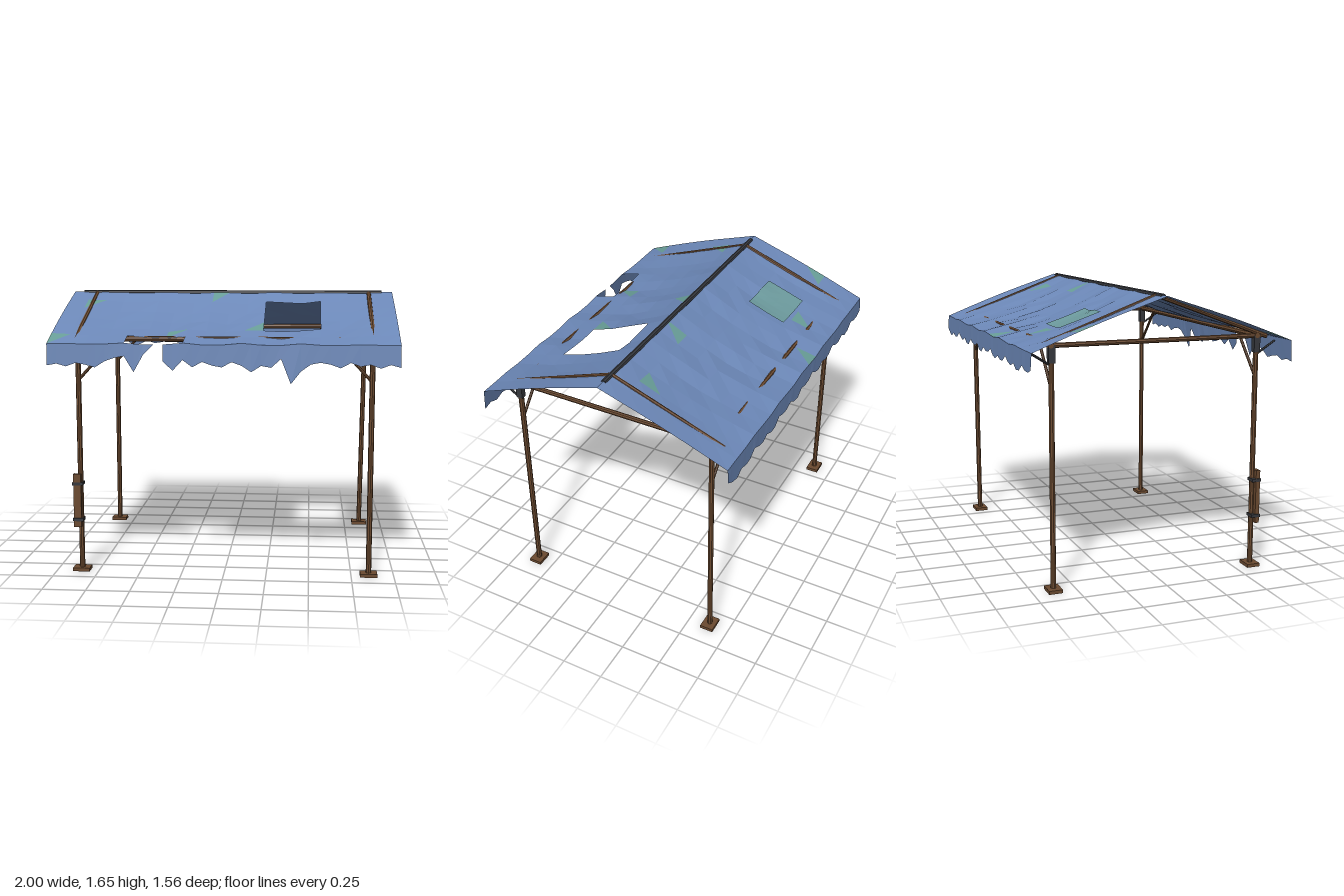
import * as THREE from 'three';

const COLS = 18, ROWS = 6, RIDGE_Z = -0.015;

export function createModel() {
  const root = new THREE.Group();
  root.name = 'tornCanopy';
  const mat = (name, color, opts = {}) => {
    const m = new THREE.MeshStandardMaterial({ color, flatShading: true, ...opts });
    m.name = name;
    return m;
  };
  const wood = mat('brown wood', 0x6b4a30);
  const metal = mat('dark iron', 0x36383d);
  const cloth = mat('blue cloth', 0x6c88b8, { side: THREE.DoubleSide });
  const green = mat('green cloth', 0x689d97, { side: THREE.DoubleSide });
  const teal = mat('teal patch', 0x6c9a9d, { side: THREE.DoubleSide });

  const add = (name, geometry, material) => {
    const mesh = new THREE.Mesh(geometry, material);
    mesh.name = name;
    root.add(mesh);
    return mesh;
  };
  const box = (name, w, h, d, x, y, z, material = wood) =>
    add(name, new THREE.BoxGeometry(w, h, d), material).position.set(x, y, z);
  // Round pole between two points
  const pole = (name, a, b, r, material = wood) => {
    const p = new THREE.Vector3(...a), q = new THREE.Vector3(...b);
    const dir = q.clone().sub(p);
    const mesh = add(name, new THREE.CylinderGeometry(r, r, dir.length(), 8), material);
    mesh.position.copy(p).add(q).multiplyScalar(0.5);
    mesh.quaternion.setFromUnitVectors(new THREE.Vector3(0, 1, 0), dir.normalize());
  };
  const triangles = (name, points, material) => {
    const g = new THREE.BufferGeometry();
    g.setAttribute('position', new THREE.Float32BufferAttribute(points, 3));
    g.computeVertexNormals();
    add(name, g, material);
  };

  // Legs, feet, corner brackets and braces
  for (const sx of [-1, 1]) {
    for (const [s, z] of [[1, 0.608], [-1, -0.63]]) {
      const x = sx * 0.852;
      const lean = sx > 0 && s < 0 ? 0.02 : 0;
      box('foot', 0.1, 0.02, 0.08, x, 0.01, z);
      pole('leg', [x, 0.015, z], [x + lean, 1.39, z], 0.016);
      box('cornerBracket', 0.034, 0.1, 0.038, x, 1.34, z, metal);
      pole('kneeBrace', [x, 1.145, z], [x - sx * 0.22, 1.385, z], 0.009);
      pole('eaveStay', [x, 1.275, z], [x, 1.352, z + s * 0.122], 0.007, metal);
      // Rafters just break through the cloth
      pole('rafter', [sx * 0.855, s > 0 ? 1.38 : 1.385, z + s * 0.065], [sx * 0.855, 1.635, RIDGE_Z], 0.014);
    }
    pole('tieBeam', [sx * 0.852, 1.385, 0.64], [sx * 0.852, 1.385, -0.65], 0.014);
  }
  for (const z of [0.608, -0.635]) pole('eaveBeam', [-0.87, 1.387, z], [0.87, 1.387, z], 0.016);
  pole('ridgePole', [-0.94, 1.634, RIDGE_Z], [0.935, 1.634, RIDGE_Z], 0.016, metal);

  // Splint strapped to the front leg
  box('splint', 0.045, 0.32, 0.026, -0.868, 0.43, 0.628);
  for (const y of [0.315, 0.532]) box('splintBand', 0.064, 0.018, 0.056, -0.864, y, 0.617, metal);

  // Cloth surface: i runs along x, r from the ridge (0) to the eave (6).
  // It sags between the rafters, is held up by them and lifts at the free ends.
  const clothPoint = (s, i, r) => {
    const x = -1 + (2 * i) / COLS, t = r / ROWS;
    const slack = Math.sqrt(Math.max(0, 1 - 1.37 * x * x));
    const wave = slack * Math.cos(18.5 * (x + (s > 0 ? 0.03 : -0.17)) + (r - 5) * 0.5);
    const billow = slack * Math.sin(i * 2.7 + r * 1.9);
    const lift = Math.max(0, Math.abs(x) - 0.89) / 0.11;
    const y = 1.645 - 0.27 * t - (r ? 0.006 + 0.007 * wave : 0.004 + 0.004 * wave) +
      Math.sin(Math.PI * t) * (0.004 * billow + 0.01 * lift - 0.037 * slack);
    return [x, y, RIDGE_Z + s * 0.768 * t];
  };
  const blend = (a, b, t) => a.map((v, k) => v + (b[k] - v) * t);
  const onCloth = (s, i, r) => {
    const i0 = Math.min(Math.floor(i), COLS - 1), r0 = Math.min(Math.floor(r), ROWS - 1);
    const row = (q) => blend(clothPoint(s, i0, q), clothPoint(s, i0 + 1, q), i - i0);
    return blend(row(r0), row(r0 + 1), r - r0);
  };
  const isHole = (s, i, r) => s > 0 &&
    ((i >= 11 && i <= 13 && r >= 1 && r <= 3) || (i >= 4 && i <= 6 && r === 5));

  // Faded triangles: side, column, row, half (0 = far left, 1 = near right)
  const faded = new Set(['-1,0,3,0', '-1,7,5,0', '-1,4,4,1', '-1,15,1,1', '-1,11,0,0',
    '1,8,0,0', '1,1,1,0', '1,10,3,1', '1,6,4,0', '1,0,5,0']);
  const blueFaces = [], greenFaces = [];
  for (const s of [-1, 1]) {
    for (let i = 0; i < COLS; i++) {
      for (let r = 0; r < ROWS; r++) {
        if (isHole(s, i, r)) continue;
        const [far, near] = s > 0 ? [r, r + 1] : [r + 1, r];
        const a = clothPoint(s, i, far), b = clothPoint(s, i + 1, far);
        const c = clothPoint(s, i, near), d = clothPoint(s, i + 1, near);
        [[a, c, b], [b, c, d]].forEach((tri, half) => {
          (faded.has([s, i, r, half].join()) ? greenFaces : blueFaces).push(...tri.flat());
        });
      }
    }
  }
  triangles('roofCloth', blueFaces, cloth);
  triangles('fadedCloth', greenFaces, green);

  // Sewn patch lying just above the back slope
  const patch = [];
  const patchPoint = (u, v) => {
    const p = onCloth(-1, 3.05 + u * 2.6 + v * 0.06, 2.05 + v * 1.85 - u * 0.08);
    p[1] += 0.008;
    return p;
  };
  for (let u = 0; u < 6; u++) {
    for (let v = 0; v < 4; v++) {
      const a = patchPoint(u / 6, v / 4), b = patchPoint((u + 1) / 6, v / 4);
      const c = patchPoint(u / 6, (v + 1) / 4), d = patchPoint((u + 1) / 6, (v + 1) / 4);
      patch.push(...a, ...b, ...c, ...b, ...d, ...c);
    }
  }
  triangles('sewnPatch', patch, teal);

  // Ragged valances hanging from both eaves
  const frontHem = [1.245, 1.255, 1.24, 1.26, 1.25, 1.235, 1.27, 1.29, 1.3, 1.21, 1.31, 1.3,
    1.27, 1.22, 1.28, 1.24, 1.27, 1.25, 1.24, 1.27, 1.25, 1.215, 1.25, 1.24, 1.29, 1.15,
    1.22, 1.26, 1.27, 1.26, 1.24, 1.27, 1.25, 1.26, 1.24, 1.26, 1.245];
  const backHem = frontHem.map((_, k) => 1.262 + 0.017 * Math.cos(k * 2.1) + 0.01 * Math.sin(k * 0.9));
  for (const [s, hem] of [[1, frontHem], [-1, backHem]]) {
    const faces = [];
    const top = (k) => onCloth(s, k / 2, ROWS);
    const bottom = (k) => {
      const [x, , z] = top(k);
      return [x, hem[k], z + s * (0.006 + Math.max(0, 1.25 - hem[k]) * 0.14)];
    };
    for (let k = 0; k < 2 * COLS; k++) {
      if (s > 0 && k === 11) continue;
      const [a, b] = s > 0 ? [k, k + 1] : [k + 1, k];
      faces.push(...top(a), ...bottom(a), ...top(b));
      // A slanted rip leaves only half of this strip
      if (s > 0 && k === 10) continue;
      faces.push(...top(b), ...bottom(a), ...bottom(b));
    }
    triangles(s > 0 ? 'frontValance' : 'backValance', faces, cloth);
  }
  return root;
}
